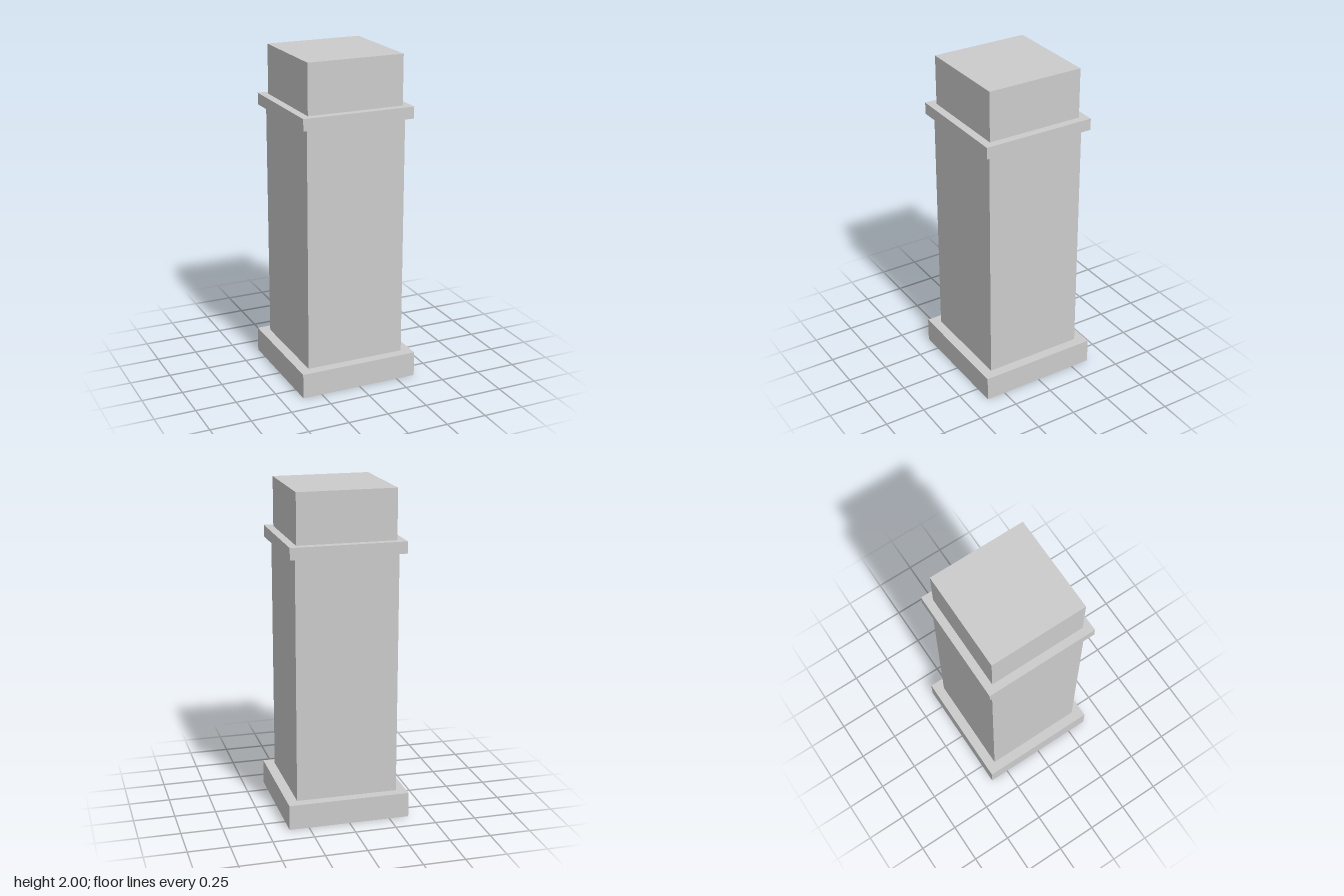
import * as THREE from 'three';

// Square pillar: stacked blocks, each given by name, width, bottom and top height
const BLOCKS = [
  ['base', 0.74, 0, 0.153],
  ['shaft', 0.617, 0.153, 1.627],
  ['collar', 0.692, 1.627, 1.698],
  ['cap', 0.595, 1.698, 2],
];

export function createModel() {
  const pillar = new THREE.Group();
  pillar.name = 'pillar';
  const material = new THREE.MeshStandardMaterial({ color: 0xcccccc });

  for (const [name, width, bottom, top] of BLOCKS) {
    const block = new THREE.Mesh(new THREE.BoxGeometry(width, top - bottom, width), material);
    block.name = name;
    block.position.y = (bottom + top) / 2;
    pillar.add(block);
  }
  return pillar;
}
